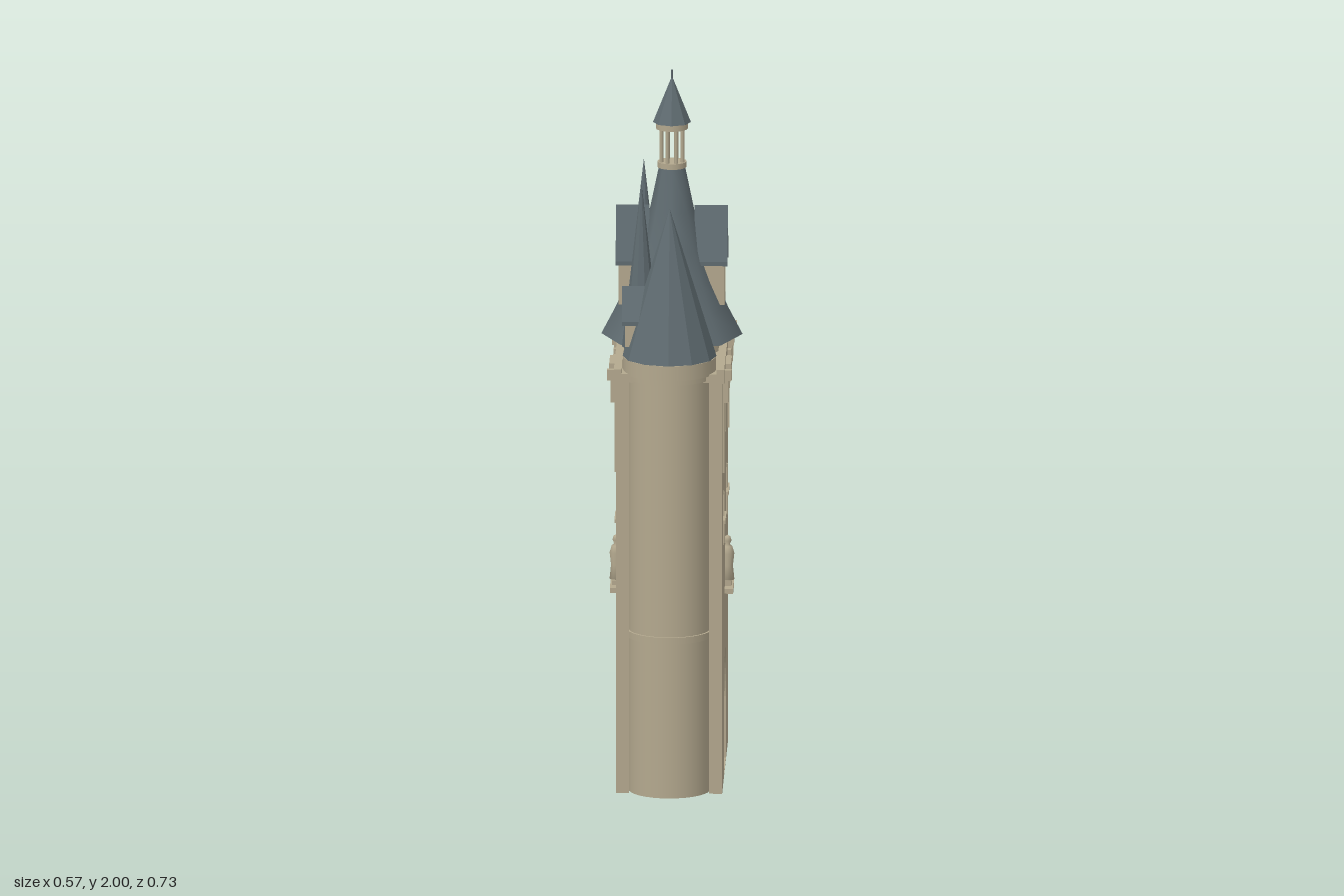
import * as THREE from 'three';

export function createModel() {
  const mat = (name, color) => Object.assign(new THREE.MeshStandardMaterial({ color }), { name });
  const stone = mat('stone', 0xb3a88e);
  const slate = mat('slate', 0x5f6b70);
  const glass = mat('glass', 0x69757a);
  const slateFlat = slate;

  const model = new THREE.Group();
  model.name = 'gateTower';
  model.rotation.y = -64.5 * Math.PI / 180;

  const add = (parent, name, geo, material, x = 0, y = 0, z = 0) => {
    const m = new THREE.Mesh(geo, material);
    m.name = name;
    m.position.set(x, y, z);
    parent.add(m);
    return m;
  };
  // box placed by its bottom height
  const box = (parent, name, w, h, d, x, y, z, material = stone) =>
    add(parent, name, new THREE.BoxGeometry(w, h, d), material, x, y + h / 2, z);
  const drum = (parent, name, r, y0, y1, x, z, sides = 32, material = stone) =>
    add(parent, name, new THREE.CylinderGeometry(r, r, y1 - y0, sides), material, x, (y0 + y1) / 2, z);
  // faceted cone with flat normals
  const spire = (parent, name, r, y0, y1, x, z, sides) => {
    const geo = new THREE.ConeGeometry(r, y1 - y0, sides).toNonIndexed();
    geo.computeVertexNormals();
    return add(parent, name, geo, slateFlat, x, (y0 + y1) / 2, z);
  };
  const extrude = (shape, depth) =>
    new THREE.ExtrudeGeometry(shape, { depth, bevelEnabled: false, curveSegments: 10 });
  const rectHole = (shape, x, y, w, h) => {
    const p = new THREE.Path();
    p.moveTo(x - w / 2, y);
    p.lineTo(x - w / 2, y + h);
    p.lineTo(x + w / 2, y + h);
    p.lineTo(x + w / 2, y);
    p.closePath();
    shape.holes.push(p);
  };
  // wall outline with a pointed gateway cut from its foot
  const gateWall = (halfW, height, archW, spring, apex) => {
    const s = new THREE.Shape();
    s.moveTo(-halfW, 0);
    s.lineTo(-archW, 0);
    s.lineTo(-archW, spring);
    s.quadraticCurveTo(-archW * 0.9, apex - 0.05, 0, apex);
    s.quadraticCurveTo(archW * 0.9, apex - 0.05, archW, spring);
    s.lineTo(archW, 0);
    s.lineTo(halfW, 0);
    s.lineTo(halfW, height);
    s.lineTo(-halfW, height);
    s.closePath();
    return s;
  };

  // gabled dormer, front face at z = 0, facing +z
  const dormer = (parent, name, x, z, o) => {
    const g = new THREE.Group();
    g.name = name;
    g.position.set(x, 0, z);
    parent.add(g);
    const w = o.width / 2, rw = w + 0.014;
    const body = new THREE.Shape();
    body.moveTo(-w, o.base);
    body.lineTo(w, o.base);
    body.lineTo(w, o.eave);
    body.lineTo(0, o.apex - 0.008);
    body.lineTo(-w, o.eave);
    body.closePath();
    rectHole(body, 0, o.winY, o.winW, o.winH);
    add(g, 'dormerFront', extrude(body, o.depth), stone, 0, 0, -o.depth);
    box(g, 'dormerWindow', o.winW, o.winH, 0.005, 0, o.winY, -0.014, glass);
    if (o.cross) {
      box(g, 'mullion', 0.006, o.winH, 0.008, 0, o.winY, -0.005);
      box(g, 'transom', o.winW, 0.006, 0.008, 0, o.winY + o.winH * 0.55, -0.005);
    }
    const slope = (o.apex - o.eave) / w, low = o.apex - slope * rw;
    const roof = new THREE.Shape();
    roof.moveTo(-rw, low);
    roof.lineTo(0, o.apex - 0.006);
    roof.lineTo(rw, low);
    roof.lineTo(rw, low + 0.012);
    roof.lineTo(0, o.apex + 0.012);
    roof.lineTo(-rw, low + 0.012);
    roof.closePath();
    add(g, 'dormerRoof', extrude(roof, o.depth + 0.008), slate, 0, 0, -o.depth);
  };

  // the two long faces, each with gateway, windows, statue and corbels
  for (const turn of [0, Math.PI]) {
    const side = new THREE.Group();
    side.name = turn ? 'rearFace' : 'mainFace';
    side.rotation.y = turn;
    model.add(side);

    const wall = gateWall(0.315, 1.185, 0.1, 0.18, 0.35);
    for (const x of [-0.168, 0.168]) rectHole(wall, x, 0.685, 0.095, 0.145);
    rectHole(wall, 0, 0.958, 0.075, 0.147);
    add(side, 'wall', extrude(wall, 0.036), stone, 0, 0, 0.112);
    add(side, 'innerArch', extrude(gateWall(0.13, 0.4, 0.088, 0.18, 0.325), 0.032), stone, 0, 0, 0.08);
    box(side, 'threshold', 0.2, 0.004, 0.036, 0, 0, 0.13);

    for (const x of [-0.168, 0.168]) {
      box(side, 'window', 0.095, 0.145, 0.005, x, 0.685, 0.126, glass);
      box(side, 'mullion', 0.012, 0.145, 0.022, x, 0.685, 0.14);
      box(side, 'transom', 0.108, 0.01, 0.026, x, 0.752, 0.142);
    }
    box(side, 'upperWindow', 0.075, 0.147, 0.005, 0, 0.958, 0.126, glass);

    // statue on a bracket
    box(side, 'statueLedge', 0.12, 0.014, 0.028, 0, 0.512, 0.158);
    box(side, 'statuePlinth', 0.05, 0.014, 0.022, 0, 0.526, 0.156);
    const robe = [[0, 0.54], [0.019, 0.54], [0.015, 0.58], [0.019, 0.615], [0.013, 0.635], [0.006, 0.64],
      [0.011, 0.651], [0.008, 0.662], [0, 0.667]].map(([x, y]) => new THREE.Vector2(x, y));
    add(side, 'statue', new THREE.LatheGeometry(robe, 12), stone, 0, 0, 0.155);

    // corbels, end strips and parapet
    for (let i = 0; i < 8; i++) box(side, 'corbel', 0.02, 0.075, 0.018, -0.28 + i * 0.08, 1.115, 0.155);
    for (const x of [-0.268, 0.268]) {
      box(side, 'endStrip', 0.006, 0.28, 0.008, x, 0.91, 0.15);
      box(side, 'parapetLedge', 0.1, 0.02, 0.022, x * 0.56, 1.185, 0.159);
      box(side, 'parapetEndBlock', 0.018, 0.03, 0.028, x * 1.08, 1.18, 0.16);
    }
    box(side, 'parapet', 0.65, 0.04, 0.022, 0, 1.178, 0.143);
  }
  box(model, 'deck', 0.65, 0.025, 0.3, 0, 1.18, 0);

  // round end towers
  for (const s of [-1, 1]) {
    const t = new THREE.Group();
    t.name = s < 0 ? 'rearTower' : 'frontTower';
    t.position.x = s * 0.26;
    model.add(t);
    drum(t, 'towerShaft', 0.115, 0, 1.21, 0, 0);
    drum(t, 'towerBand', 0.121, 0.443, 0.462, 0, 0);
    drum(t, 'towerCornice', 0.122, 1.185, 1.2, 0, 0);
    drum(t, 'towerCap', 0.13, 1.2, 1.243, 0, 0);
    spire(t, 'towerRoof', 0.131, 1.243, 1.665, 0, 0, 12);
    dormer(t, 'towerDormer', 0, 0.124,
      { width: 0.068, base: 1.275, eave: 1.365, apex: 1.43, depth: 0.07, winY: 1.295, winW: 0.036, winH: 0.07, cross: true });
    spire(model, 'smallSpire', 0.054, 1.24, 1.712, s * 0.14, 0.082, 10);
  }

  // flared eight-sided main roof
  const roofLine = [[0, 1.243], [0.197, 1.243], [0.197, 1.243], [0.157, 1.32], [0.122, 1.4], [0.09, 1.49], [0.062, 1.6], [0.036, 1.725]]
    .map(([x, y]) => new THREE.Vector2(x, y));
  const roofGeo = new THREE.LatheGeometry(roofLine, 8, Math.PI / 2);
  add(model, 'mainRoof', roofGeo, slate);
  drum(model, 'roofBase', 0.15, 1.2, 1.245, 0, 0, 8);
  for (const turn of [0, Math.PI]) {
    const holder = new THREE.Group();
    holder.name = 'mainDormerSide';
    holder.rotation.y = turn;
    model.add(holder);
    dormer(holder, 'mainDormer', 0, 0.148,
      { width: 0.076, base: 1.335, eave: 1.49, apex: 1.6, depth: 0.085, winY: 1.36, winW: 0.04, winH: 0.095 });
  }

  // open lantern with finial
  drum(model, 'lanternBase', 0.041, 1.722, 1.738, 0, 0, 16);
  for (let i = 0; i < 8; i++) {
    const a = (i + 0.5) * Math.PI / 4;
    drum(model, 'lanternPost', 0.0055, 1.738, 1.832, 0.032 * Math.cos(a), 0.032 * Math.sin(a), 8);
  }
  drum(model, 'lanternRing', 0.045, 1.832, 1.85, 0, 0, 16);
  spire(model, 'lanternRoof', 0.053, 1.85, 1.982, 0, 0, 8);
  drum(model, 'finial', 0.0025, 1.97, 2, 0, 0, 6, slate);

  const root = new THREE.Group();
  root.name = 'castleGate';
  root.add(model);
  return root;
}
